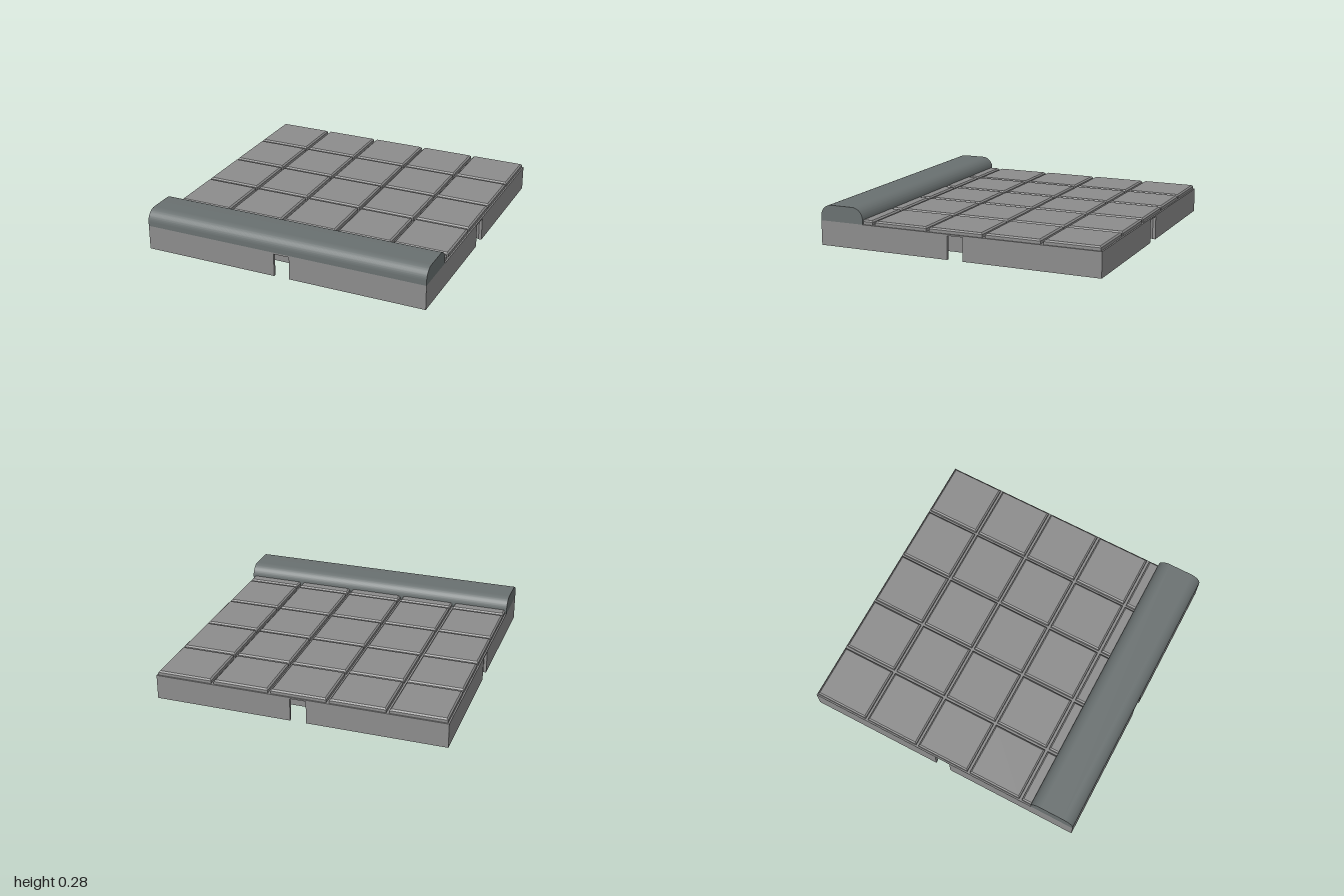
import * as THREE from 'three';
import { toCreasedNormals } from 'three/addons/utils/BufferGeometryUtils.js';

const stone = new THREE.MeshStandardMaterial({ color: 0x8c8c8c });
const trim = new THREE.MeshStandardMaterial({ color: 0x697070 });

// Square outline with a short-necked dovetail socket in the middle of each edge
function baseShape() {
  const side = [[-1, -1], [-0.055, -1], [-0.055, -0.98], [-0.2, -0.8],
    [0.2, -0.8], [0.055, -0.98], [0.055, -1]];
  const points = [];
  for (let i = 0; i < 4; i++) {
    for (const [x, y] of side) {
      points.push(new THREE.Vector2(x, y).rotateAround(new THREE.Vector2(), i * Math.PI / 2));
    }
  }
  return new THREE.Shape(points);
}

// Paving tile: straight sides with a chamfer around the top
function tileGeometry(size, height, chamfer) {
  const geo = new THREE.BoxGeometry(size, height, size, 1, 2, 1);
  const p = geo.attributes.position;
  for (let i = 0; i < p.count; i++) {
    const y = p.getY(i);
    if (Math.abs(y) < 1e-5) p.setY(i, height / 2 - chamfer);
    else if (y > 0) {
      p.setX(i, p.getX(i) - Math.sign(p.getX(i)) * chamfer);
      p.setZ(i, p.getZ(i) - Math.sign(p.getZ(i)) * chamfer);
    }
  }
  const flat = geo.toNonIndexed();
  flat.computeVertexNormals();
  return flat;
}

// Rounded kerb profile, drawn in (-z, y) and extruded along x
function kerbGeometry() {
  const back = -0.68, front = -1, low = 0.17, top = 0.28, r = 0.08;
  const s = new THREE.Shape();
  s.moveTo(front, low);
  s.lineTo(back, low);
  s.lineTo(back, top - r);
  s.absarc(back - r, top - r, r, 0, Math.PI / 2, false);
  s.absarc(front + r, top - r, r, Math.PI / 2, Math.PI, false);
  s.closePath();
  const geo = new THREE.ExtrudeGeometry(s, { depth: 2, bevelEnabled: false, curveSegments: 12 });
  geo.translate(0, 0, -1).rotateY(Math.PI / 2);
  return toCreasedNormals(geo, 0.5);
}

export function createModel() {
  const group = new THREE.Group();
  const add = (name, geo, mat, x = 0, y = 0, z = 0) => {
    const mesh = new THREE.Mesh(geo, mat);
    mesh.name = name;
    mesh.position.set(x, y, z);
    group.add(mesh);
  };

  // Slab with sockets open at the bottom, closed by a thin deck
  const slab = new THREE.ExtrudeGeometry(baseShape(), { depth: 0.16, bevelEnabled: false });
  add('slab', slab.rotateX(-Math.PI / 2), stone);
  add('deck', new THREE.BoxGeometry(2, 0.01, 2), stone, 0, 0.165, 0);

  // Five by five tiles; the front row runs under the kerb
  const tile = tileGeometry(0.38, 0.03, 0.01);
  for (let row = 0; row < 5; row++) {
    for (let col = 0; col < 5; col++) {
      add('tile', tile, stone, -0.8 + col * 0.4, 0.185, -0.8 + row * 0.4);
    }
  }

  // Rounded kerb along the front edge
  add('kerb', kerbGeometry(), trim);

  return group;
}
